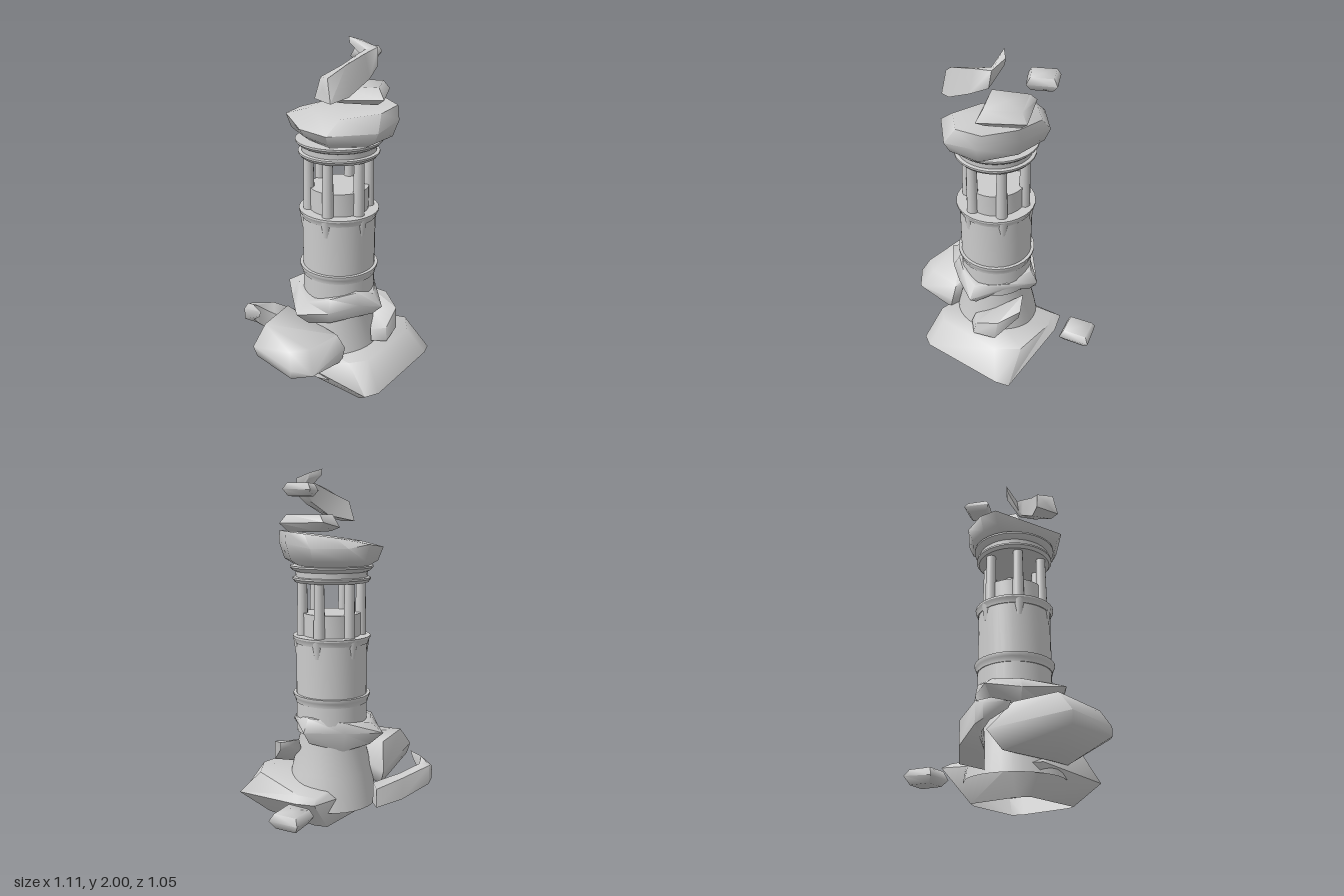
import * as THREE from 'three';
import { mergeVertices, toCreasedNormals } from 'three/addons/utils/BufferGeometryUtils.js';
import { ConvexGeometry } from 'three/addons/geometries/ConvexGeometry.js';

const CZ = 0.05; // tower axis sits at x = 0, z = CZ
const SOFT = 1.25; // crease angle that keeps the rocks softly shaded
const grey = new THREE.MeshStandardMaterial({ color: 0xcccccc });
const greyDouble = new THREE.MeshStandardMaterial({ color: 0xcccccc, side: THREE.DoubleSide });

function add(parent, name, geometry, material = grey) {
  const mesh = new THREE.Mesh(geometry, material);
  mesh.name = name;
  parent.add(mesh);
  return mesh;
}

// Skin a list of equal-length cross-sections, closing the ends with fans
function loft(rings, capFirst = true, capLast = true) {
  const n = rings[0].length;
  const pos = rings.flat(2);
  const idx = [];
  for (let r = 0; r < rings.length - 1; r++) {
    for (let i = 0; i < n; i++) {
      const j = (i + 1) % n, a = r * n, b = a + n;
      idx.push(a + i, a + j, b + j, a + i, b + j, b + i);
    }
  }
  const cap = (r, flip) => {
    const c = [0, 1, 2].map(k => rings[r].reduce((s, p) => s + p[k], 0) / n);
    const ci = pos.length / 3;
    pos.push(...c);
    for (let i = 0; i < n; i++) {
      const a = r * n + i, b = r * n + (i + 1) % n;
      idx.push(...(flip ? [ci, b, a] : [ci, a, b]));
    }
  };
  if (capFirst) cap(0, true);
  if (capLast) cap(rings.length - 1, false);
  // Turn the faces outwards if the enclosed volume comes out negative
  const v = i => new THREE.Vector3().fromArray(pos, idx[i] * 3);
  let volume = 0;
  for (let i = 0; i < idx.length; i += 3) volume += v(i).dot(v(i + 1).cross(v(i + 2)));
  if (volume < 0) idx.reverse();
  const g = new THREE.BufferGeometry();
  g.setAttribute('position', new THREE.Float32BufferAttribute(pos, 3));
  g.setIndex(idx);
  return toCreasedNormals(g, SOFT);
}

// Shrink a ring of points towards a centre and give it a new height
const shrink = (ring, s, y, cx = 0, cz = CZ) =>
  ring.map(([x, , z]) => [cx + (x - cx) * s, typeof y === 'function' ? y(x) : y, cz + (z - cz) * s]);

// Bevelled stone: four corners as x, y, z, between a bottom and a top height
function chunk(corners, y0, y1) {
  const cx = corners.reduce((s, c) => s + c[0], 0) / 4;
  const cz = corners.reduce((s, c) => s + c[2], 0) / 4;
  return loft([shrink(corners, 0.7, y0, cx, cz), corners, shrink(corners, 0.76, y1, cx, cz)]);
}

export function createModel() {
  const model = new THREE.Group();

  // Turned tower parts
  const tower = new THREE.Group();
  tower.name = 'tower';
  tower.position.z = CZ;
  model.add(tower);
  const turned = (name, profile, material) => add(tower, name,
    toCreasedNormals(new THREE.LatheGeometry(profile.map(p => new THREE.Vector2(...p)), 32), 0.5), material);
  turned('flaredFoot', [[0.27, 0.1], [0.235, 0.29], [0.185, 0.5], [0.185, 0.58]], greyDouble);
  turned('shaft', [[0.18, 0.52], [0.205, 0.52], [0.205, 1.06]]);
  turned('lowerBand', [[0.2, 0.695], [0.21, 0.695], [0.212, 0.712], [0.218, 0.722], [0.223, 0.735], [0.223, 0.745], [0.2, 0.745]]);
  turned('galleryBand', [[0.2, 1.04], [0.21, 1.04], [0.213, 1.055], [0.223, 1.072], [0.223, 1.082], [0, 1.082]]);
  turned('lanternDrum', [[0.165, 1.07], [0.165, 1.21], [0, 1.21]]);
  turned('entablature', [[0, 1.385], [0.208, 1.385], [0.222, 1.402], [0.222, 1.412], [0.203, 1.415],
    [0.205, 1.445], [0.22, 1.452], [0.236, 1.468], [0.236, 1.478], [0, 1.478]]);

  // Six lantern columns, each with a tapering bracket under the gallery
  for (let i = 0; i < 6; i++) {
    const arm = new THREE.Group();
    arm.name = 'columnBay';
    arm.rotation.y = i * Math.PI / 3;
    tower.add(arm);
    add(arm, 'column', new THREE.CylinderGeometry(0.027, 0.033, 0.33, 12)).position.set(0.167, 1.23, 0);
    add(arm, 'bracket', new THREE.CylinderGeometry(0.034, 0.02, 0.1, 12)).position.set(0.187, 1.02, 0);
  }

  // Base rock, hollow underneath
  add(model, 'baseRock', loft([
    [[.07, 0, .365], [.12, 0, .35], [.35, 0, .14], [.375, 0, .08], [.12, 0, -.15], [.05, 0, -.175], [-.15, 0, .03], [-.175, 0, .1]],
    [[.07, .125, .52], [.15, .13, .505], [.51, .13, .16], [.55, .125, .09], [.235, .19, -.27], [.135, .2, -.33], [-.22, .15, 0], [-.275, .15, .15]],
    [[.0, .275, .4], [.11, .285, .405], [.4, .29, .14], [.425, .285, -.01], [.22, .225, -.23], [.12, .22, -.28], [-.13, .23, .03], [-.14, .235, .17]],
  ], false), greyDouble);

  // Large boulder at the front right
  const boulder = new ConvexGeometry([
    [-.52, .34, .25], [-.5, .275, .25], [-.445, .45, .2], [-.3, .44, 0], [-.28, .3, -.13],
    [-.33, .4, .43], [-.33, .32, .487], [-.33, .27, .485], [-.22, .4, .42], [-.215, .29, .51],
    [-.05, .4, .3], [-.01, .33, .33], [-.03, .25, .34], [-.13, .17, .3], [-.25, .16, .2], [-.28, .2, -.05],
  ].map(p => new THREE.Vector3(...p)));
  boulder.deleteAttribute('normal');
  boulder.deleteAttribute('uv');
  add(model, 'boulder', toCreasedNormals(mergeVertices(boulder, 1e-4), SOFT));

  // Jagged collar: x, z, then top, middle and bottom heights
  const collar = [[.215, .05, .61, .585, .555], [.215, .25, .6, .53, .465], [.08, .29, .64, .57, .48],
    [-.1, .3, .61, .54, .455], [-.275, .28, .58, .54, .44], [-.275, .05, .59, .53, .46],
    [-.275, -.14, .59, .54, .46], [-.05, -.17, .61, .55, .44], [.18, -.16, .635, .56, .485]];
  // Slide each point from the outline (t = 0) to radius r (t = 1)
  const collarRing = (height, r, t) => collar.map(c => {
    const s = 1 - t + t * r / Math.hypot(c[0], c[1] - CZ);
    return [c[0] * s, height(c), CZ + (c[1] - CZ) * s];
  });
  add(model, 'rockCollar', loft([
    collarRing(c => c[4] + 0.02, 0.185, 1),
    collarRing(c => c[4], 0.19, 0.6),
    collarRing(c => c[3], 0.2, 0),
    collarRing(c => c[2], 0.205, 0.6),
    collarRing(c => c[2], 0.205, 1),
  ], false, false), greyDouble);

  // Rock crowning the lantern, flaring towards the left at the top
  const crown = [[-.27, 1.585, -.09], [-.18, 1.6, -.17], [-.06, 1.58, -.23], [.14, 1.58, -.21], [.26, 1.6, -.03],
    [.29, 1.6, .2], [.15, 1.57, .338], [-.11, 1.56, .32], [-.22, 1.55, .12]];
  add(model, 'crownRock', loft([
    shrink(crown, 0.7, 1.475), shrink(crown, 0.9, 1.51), crown, shrink(crown, 0.8, x => 1.642 + 0.1 * x, 0.28),
  ]));

  // Loose stones: one slab on the crown and two floating pieces
  add(model, 'crownSlab', chunk([[.065, 1.715, -.155], [.295, 1.71, -.05], [.21, 1.7, .188], [-.05, 1.685, .08]], 1.665, 1.757));
  add(model, 'upperStone', chunk([[.14, 1.88, -.25], [.28, 1.885, -.195], [.225, 1.885, -.055], [.085, 1.88, -.1]], 1.85, 1.916));
  add(model, 'lowerStone', chunk([[.24, .175, -.53], [.385, .175, -.435], [.275, .165, -.285], [.14, .165, -.385]], .128, .212));

  // Bent shards
  add(model, 'topShard', loft([
    [[-.145, 1.72, .17], [-.085, 1.72, .31], [-.095, 1.84, .28], [-.115, 1.83, .18]],
    [[.0, 1.75, .165], [.01, 1.745, .285], [.0, 1.9, .265], [-.01, 1.88, .165]],
    [[.1, 1.82, .12], [.13, 1.815, .2], [.11, 1.935, .17], [.09, 1.93, .12]],
    [[.14, 1.88, .1], [.19, 1.865, .115], [.19, 1.955, .1], [.13, 1.945, .09]],
    [[.06, 1.965, .018], [.13, 1.95, .025], [.125, 1.98, .02], [.055, 2, .013]],
  ]));
  add(model, 'hornShard', loft([
    [[-.22, .115, -.13], [-.22, .14, -.255], [-.22, .25, -.255], [-.22, .24, -.13]],
    [[-.375, .17, -.145], [-.365, .19, -.265], [-.365, .315, -.265], [-.375, .3, -.15]],
    [[-.47, .23, -.17], [-.53, .25, -.205], [-.53, .36, -.205], [-.48, .36, -.17]],
    [[-.5, .28, -.135], [-.555, .27, -.17], [-.555, .345, -.17], [-.5, .39, -.13]],
    [[-.47, .35, -.045], [-.475, .35, -.05], [-.475, .385, -.05], [-.46, .39, -.03]],
  ]));
  add(model, 'sideShard', loft([
    [[.16, .3, .235], [.25, .29, .24], [.25, .37, .225], [.16, .36, .21]],
    [[.19, .3, .11], [.335, .31, .13], [.335, .43, .11], [.2, .42, .1]],
    [[.18, .4, -.01], [.305, .42, -.02], [.305, .465, -.03], [.2, .495, -.07]],
  ]));

  return model;
}
